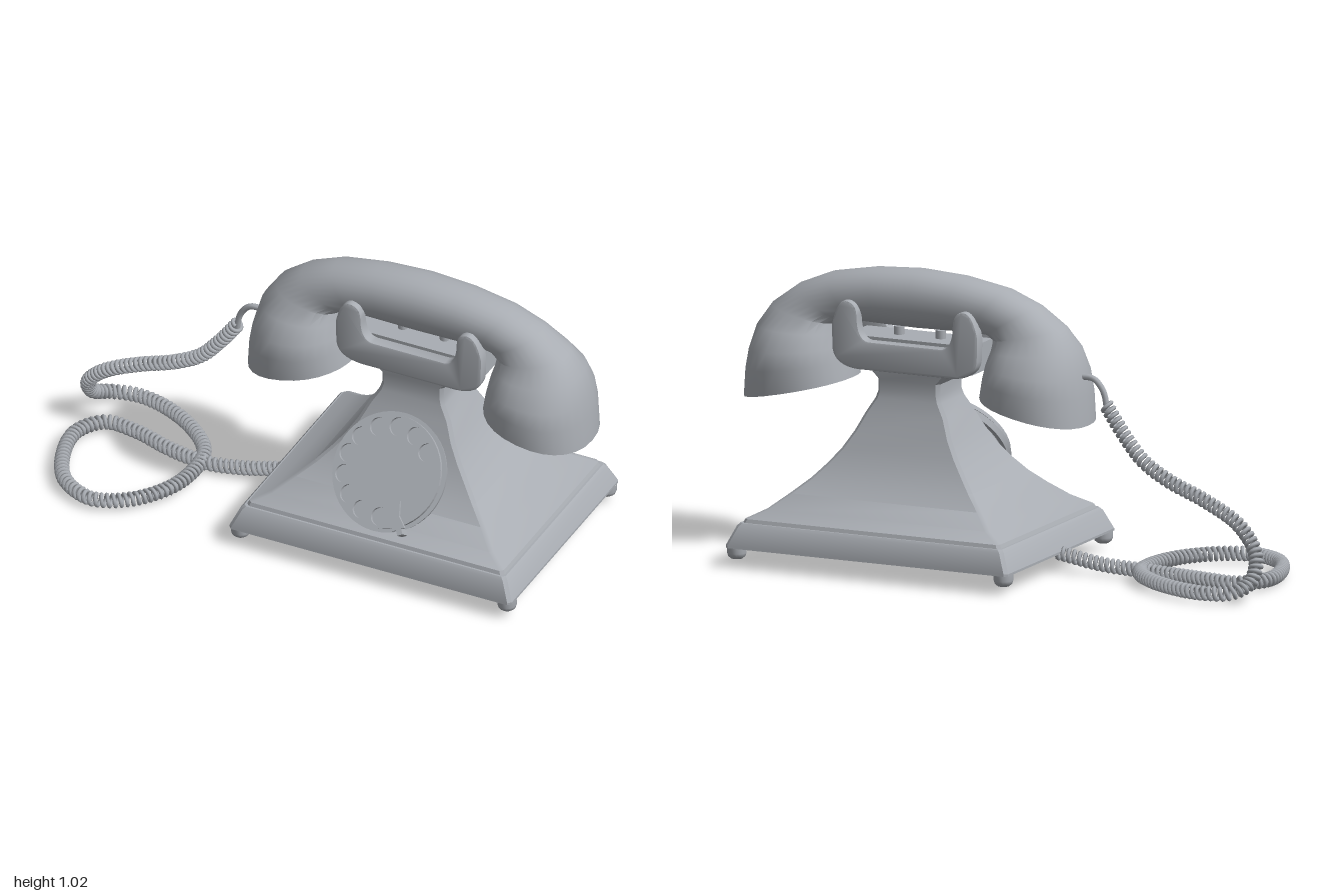
import * as THREE from 'three';
import { toCreasedNormals } from 'three/addons/utils/BufferGeometryUtils.js';

const grey = new THREE.MeshStandardMaterial({ color: 0xa9adb3 });
grey.name = 'telephone grey';
const CX = 0.355, CZ = -0.012; // centre of the telephone

function add(parent, name, geometry, x = 0, y = 0, z = 0) {
  const mesh = new THREE.Mesh(geometry, grey);
  mesh.name = name;
  mesh.position.set(x, y, z);
  parent.add(mesh);
  return mesh;
}

// Skin over a list of equal-length rings of Vector3, capped at both ends
function loft(rings, crease) {
  const n = rings[0].length, pos = [], index = [];
  rings.forEach(r => r.forEach(p => pos.push(p.x, p.y, p.z)));
  for (let i = 0; i < rings.length - 1; i++) for (let j = 0; j < n; j++) {
    const a = i * n + j, b = i * n + (j + 1) % n;
    index.push(a, b, a + n, b, b + n, a + n);
  }
  [0, rings.length - 1].forEach((k, end) => {
    const c = rings[k].reduce((s, p) => s.add(p), new THREE.Vector3()).divideScalar(n);
    const ci = pos.length / 3;
    pos.push(c.x, c.y, c.z);
    for (let j = 0; j < n; j++) {
      const a = k * n + j, b = k * n + (j + 1) % n;
      if (end) index.push(a, b, ci); else index.push(b, a, ci);
    }
  });
  // Turn the faces outward if the enclosed volume is negative
  const v = i => new THREE.Vector3().fromArray(pos, index[i] * 3);
  let volume = 0;
  for (let i = 0; i < index.length; i += 3) volume += v(i).dot(v(i + 1).cross(v(i + 2)));
  if (volume < 0) index.reverse();
  const g = new THREE.BufferGeometry();
  g.setAttribute('position', new THREE.Float32BufferAttribute(pos, 3));
  g.setIndex(index);
  return toCreasedNormals(g, crease);
}

// Rectangle with small cut corners at height y
function rectRing([y, hx, hz], cut = 0.012) {
  const r = [];
  [[1, 1], [-1, 1], [-1, -1], [1, -1]].forEach(([sx, sz], i) => {
    const a = new THREE.Vector3(sx * hx, y, sz * (hz - cut));
    const b = new THREE.Vector3(sx * (hx - cut), y, sz * hz);
    r.push(...(i % 2 ? [b, a] : [a, b]));
  });
  return r;
}

// Coil wound round a guide curve
class Coil extends THREE.Curve {
  constructor(guide, turns, radius) {
    super();
    Object.assign(this, { guide, turns, radius });
  }
  getPoint(t) {
    const p = this.guide.getPointAt(t), d = this.guide.getTangentAt(t);
    const side = new THREE.Vector3(0, 1, 0).cross(d).normalize();
    const up = d.clone().cross(side), a = t * this.turns * Math.PI * 2;
    return p.addScaledVector(side, Math.cos(a) * this.radius).addScaledVector(up, Math.sin(a) * this.radius);
  }
  getPointAt(t) { return this.getPoint(t); }
  getTangentAt(t) { return this.getTangent(t); }
}

function buildBase(root) {
  add(root, 'plinth', loft([[0.07, 0.54, 0.427], [0.078, 0.54, 0.427], [0.145, 0.51, 0.4], [0.155, 0.5, 0.392]]
    .map(s => rectRing(s)), 0.4), CX, 0, CZ);
  // Flared body, height / half width / half depth
  const body = [[0.15, 0.495, 0.387], [0.168, 0.487, 0.38], [0.2, 0.425, 0.335], [0.25, 0.365, 0.277],
    [0.3, 0.308, 0.23], [0.35, 0.262, 0.195], [0.4, 0.222, 0.168], [0.46, 0.185, 0.143], [0.525, 0.155, 0.115],
    [0.575, 0.125, 0.1], [0.6, 0.118, 0.095], [0.64, 0.118, 0.095], [0.675, 0.15, 0.1], [0.69, 0.15, 0.1]];
  add(root, 'body', loft(body.map(s => rectRing(s)), 0.5), CX, 0, CZ);
  const foot = new THREE.LatheGeometry([[0, 0], [0.02, 0], [0.03, 0.008], [0.034, 0.02], [0.034, 0.045]]
    .map(p => new THREE.Vector2(...p)), 16);
  for (const sx of [-1, 1]) for (const sz of [-1, 1])
    add(root, 'foot', foot, CX + sx * 0.51, 0.03, CZ + sz * 0.39);
}

function buildCradle(root) {
  const cradle = new THREE.Group();
  cradle.name = 'cradle';
  cradle.position.set(CX, 0, CZ);
  root.add(cradle);
  add(cradle, 'cradleFloor', new THREE.BoxGeometry(0.48, 0.1, 0.16), 0, 0.733, 0);
  // Side plate with an upright prong at each end
  const s = new THREE.Shape();
  s.moveTo(-0.15, 0.68);
  s.quadraticCurveTo(-0.262, 0.675, -0.27, 0.74);
  s.lineTo(-0.272, 0.82);
  s.quadraticCurveTo(-0.255, 0.9, -0.225, 0.902);
  s.quadraticCurveTo(-0.192, 0.9, -0.19, 0.86);
  s.quadraticCurveTo(-0.19, 0.772, -0.14, 0.765);
  s.lineTo(0.14, 0.765);
  s.quadraticCurveTo(0.19, 0.772, 0.19, 0.86);
  s.quadraticCurveTo(0.192, 0.9, 0.225, 0.902);
  s.quadraticCurveTo(0.255, 0.9, 0.272, 0.82);
  s.lineTo(0.27, 0.74);
  s.quadraticCurveTo(0.262, 0.675, 0.15, 0.68);
  const plate = toCreasedNormals(new THREE.ExtrudeGeometry(s, {
    depth: 0.03, bevelThickness: 0.008, bevelSize: 0.008, bevelSegments: 2, curveSegments: 8 }), 0.6);
  for (const side of [0, 1]) {
    const m = add(cradle, 'cradleSide', plate, 0, 0, side ? -0.085 : 0.085);
    m.rotation.y = side * Math.PI;
  }
  for (const x of [-0.08, 0.08])
    add(cradle, 'plunger', new THREE.CylinderGeometry(0.018, 0.018, 0.035, 12), x, 0.795, 0);
}

function buildDial(root) {
  const dial = new THREE.Group();
  dial.name = 'dial';
  dial.position.set(CX, 0.383, 0.275);
  dial.rotation.x = -0.64;
  root.add(dial);
  const disc = (name, front, back, depth, z) =>
    add(dial, name, new THREE.CylinderGeometry(front, back, depth, 48).rotateX(Math.PI / 2), 0, 0, z - depth / 2);
  disc('dialMount', 0.19, 0.165, 0.19, -0.04);
  disc('dialRim', 0.21, 0.205, 0.022, -0.022);
  disc('dialHub', 0.12, 0.12, 0.025, -0.002);
  // Finger wheel with ten holes
  const wheel = new THREE.Shape().absarc(0, 0, 0.198, 0, Math.PI * 2);
  for (let i = 0; i < 10; i++) {
    const a = THREE.MathUtils.degToRad(38 + i * 26.5);
    wheel.holes.push(new THREE.Path().absarc(Math.cos(a) * 0.158, Math.sin(a) * 0.158, 0.032, 0, Math.PI * 2, true));
  }
  add(dial, 'fingerWheel', new THREE.ExtrudeGeometry(wheel, { depth: 0.014, bevelEnabled: false, curveSegments: 24 }), 0, 0, -0.012);
  // Finger stop, hooked in from the rim
  const hook = new THREE.Shape([[0.21, -0.026], [0.21, 0.022], [0.165, 0.012], [0.115, 0.028], [0.15, -0.012]]
    .map(p => new THREE.Vector2(...p)));
  const stop = add(dial, 'fingerStop', new THREE.ExtrudeGeometry(hook, { depth: 0.012, bevelEnabled: false }), 0, 0, 0.006);
  stop.rotation.z = -1.05;
  const post = add(dial, 'fingerStopPost', new THREE.BoxGeometry(0.02, 0.045, 0.05), 0.103, -0.18, -0.007);
  post.rotation.z = 0.52;
}

function buildHandset(root) {
  // Half of the handset: inner x, y, outer x, y and half depth
  const half = [[0.255, 0.615, 0.645, 0.53, 0.2], [0.268, 0.68, 0.637, 0.63, 0.205], [0.28, 0.73, 0.625, 0.7, 0.196],
    [0.293, 0.775, 0.602, 0.785, 0.155], [0.295, 0.805, 0.55, 0.86, 0.115], [0.27, 0.818, 0.455, 0.93, 0.1],
    [0.215, 0.82, 0.335, 0.98, 0.098], [0.12, 0.817, 0.17, 1.01, 0.1]];
  // Recessed cap in the mouth of the cup
  const mouth = [[0.285, 0.625, 0.61, 0.554, 0.166], [0.281, 0.61, 0.615, 0.537, 0.172]];
  const list = [...mouth, ...half];
  const all = [...list, [0, 0.815, 0, 1.02, 0.102],
    ...list.slice().reverse().map(([a, b, c, d, w]) => [-a, b, -c, d, w])];
  const rings = all.map(([ix, iy, ox, oy, w]) => Array.from({ length: 28 }, (_, j) => {
    const a = j / 28 * Math.PI * 2, soft = v => Math.sign(v) * Math.abs(v) ** 0.9;
    const k = (1 + soft(Math.cos(a))) / 2;
    return new THREE.Vector3(ix + (ox - ix) * k, iy + (oy - iy) * k, soft(Math.sin(a)) * w);
  }));
  add(root, 'handset', loft(rings, 0.75), CX, 0, CZ);
}

function buildCord(root) {
  const path = pts => new THREE.CatmullRomCurve3(pts.map(p => new THREE.Vector3(...p)));
  add(root, 'cordPlug', new THREE.TubeGeometry(
    path([[-0.26, 0.7, -0.01], [-0.31, 0.695, -0.01], [-0.345, 0.655, -0.01], [-0.36, 0.59, -0.01]]), 16, 0.011, 8));
  const guide = path([[-0.355, 0.61, -0.01], [-0.42, 0.52, -0.015], [-0.5, 0.43, -0.02], [-0.6, 0.37, -0.025],
    [-0.75, 0.31, -0.03], [-0.88, 0.24, -0.04], [-0.96, 0.15, -0.075], [-0.97, 0.07, -0.135], [-0.93, 0.04, -0.2],
    [-0.84, 0.035, -0.225], [-0.72, 0.035, -0.2], [-0.58, 0.035, -0.12], [-0.49, 0.035, -0.02], [-0.47, 0.035, 0.1],
    [-0.5, 0.035, 0.24], [-0.59, 0.035, 0.36], [-0.71, 0.035, 0.412], [-0.84, 0.035, 0.35], [-0.92, 0.035, 0.2],
    [-0.935, 0.035, 0.06], [-0.87, 0.035, -0.03], [-0.75, 0.035, -0.025], [-0.6, 0.03, 0.015], [-0.45, 0.03, 0.035],
    [-0.32, 0.04, 0.02], [-0.17, 0.07, 0]]);
  guide.arcLengthDivisions = 1500;
  const turns = 165;
  add(root, 'coiledCord', new THREE.TubeGeometry(new Coil(guide, turns, 0.02), turns * 14, 0.0075, 6));
}

export function createModel() {
  const root = new THREE.Group();
  root.name = 'telephone';
  [buildBase, buildCradle, buildDial, buildHandset, buildCord].forEach(build => build(root));
  return root;
}
